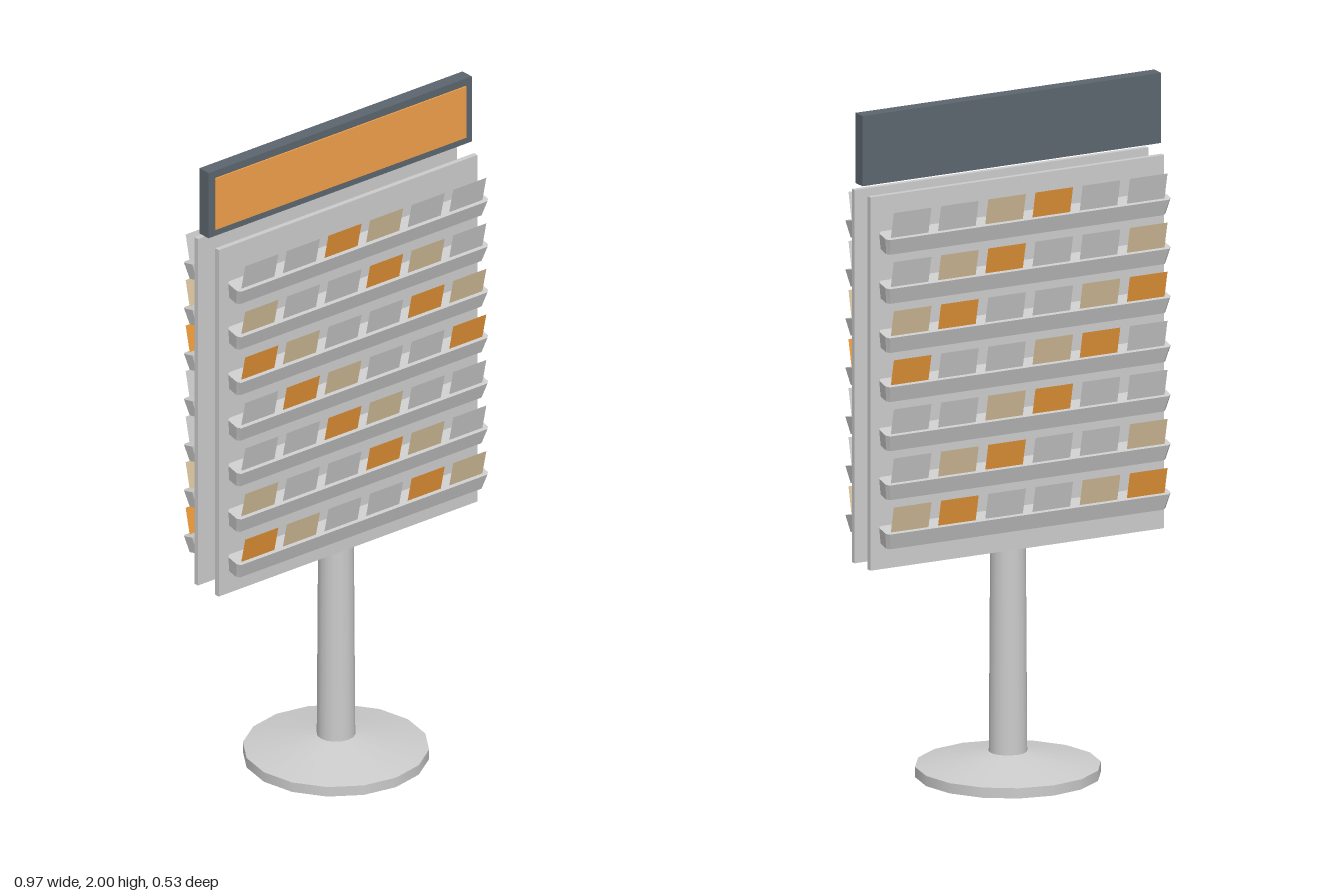
import * as THREE from 'three';

const mat = (color, side = THREE.FrontSide) => new THREE.MeshStandardMaterial({ color, side });

export function createModel() {
  const root = new THREE.Group();
  root.name = 'displayStand';

  const grey = mat(0xcccccc);
  const dark = mat(0x5c666e);
  const signOrange = mat(0xf0a04a);
  const cardMats = [0xcccccc, 0xcccccc, 0xeb9838, 0xd8c29c].map((c) => mat(c, THREE.DoubleSide));

  const add = (parent, name, geometry, material, x, y, z, rx = 0) => {
    const mesh = new THREE.Mesh(geometry, material);
    mesh.name = name;
    mesh.position.set(x, y, z);
    mesh.rotation.x = rx;
    parent.add(mesh);
    return mesh;
  };

  // Round foot and post
  add(root, 'baseRim', new THREE.CylinderGeometry(0.265, 0.265, 0.03, 16), grey, 0, 0.015, 0);
  add(root, 'baseCone', new THREE.CylinderGeometry(0.054, 0.265, 0.04, 16, 1, true), grey, 0, 0.05, 0);
  add(root, 'post', new THREE.CylinderGeometry(0.051, 0.055, 0.62, 16), grey, 0, 0.37, 0);

  // Header sign with a coloured front face
  add(root, 'signFrame', new THREE.BoxGeometry(0.968, 0.206, 0.041), dark, 0, 1.897, -0.002);
  add(root, 'signFace', new THREE.BoxGeometry(0.922, 0.162, 0.01), signOrange, 0, 1.896, 0.018);

  // Shelf rail: chamfered bar, narrower at its underside
  const hw = 0.462, hd = 0.028, c = 0.009, h = 0.05;
  const outline = new THREE.Shape([
    [-hw + c, -hd], [hw - c, -hd], [hw, -hd + c], [hw, hd - c],
    [hw - c, hd], [-hw + c, hd], [-hw, hd - c], [-hw, -hd + c],
  ].map(([x, y]) => new THREE.Vector2(x, y)));
  const railGeo = new THREE.ExtrudeGeometry(outline, { depth: h, bevelEnabled: false });
  railGeo.translate(0, 0, -h / 2).rotateX(-Math.PI / 2);
  const p = railGeo.attributes.position;
  for (let i = 0; i < p.count; i++) {
    if (p.getY(i) < 0) p.setXYZ(i, p.getX(i) * 0.98, p.getY(i), p.getZ(i) * 0.84);
  }
  railGeo.computeVertexNormals();

  const panelGeo = new THREE.BoxGeometry(0.952, 1.095, 0.016);
  const cardGeo = new THREE.PlaneGeometry(0.122, 0.092);
  const tilt = 0.225;

  // Two mirrored faces, each with a back panel, seven rails and their cards
  for (const s of [1, -1]) {
    const face = new THREE.Group();
    face.name = s > 0 ? 'frontRack' : 'backRack';
    root.add(face);
    add(face, 'panel', panelGeo, grey, 0, 1.22, s * 0.046);

    for (let row = 0; row < 7; row++) {
      const y = 1.638 - row * 0.144;
      add(face, 'shelfRail', railGeo, grey, 0, y, s * 0.093, s * tilt);
      for (let col = 0; col < 6; col++) {
        const k = (col - row + 8) % 4;
        const card = add(face, 'card', cardGeo, cardMats[k], (col - 2.5) * 0.153, y + 0.053, s * 0.122, s * tilt);
        if (s < 0) card.rotation.set(-tilt + Math.PI, 0, Math.PI); // outward face to the rear
      }
    }
  }
  return root;
}
